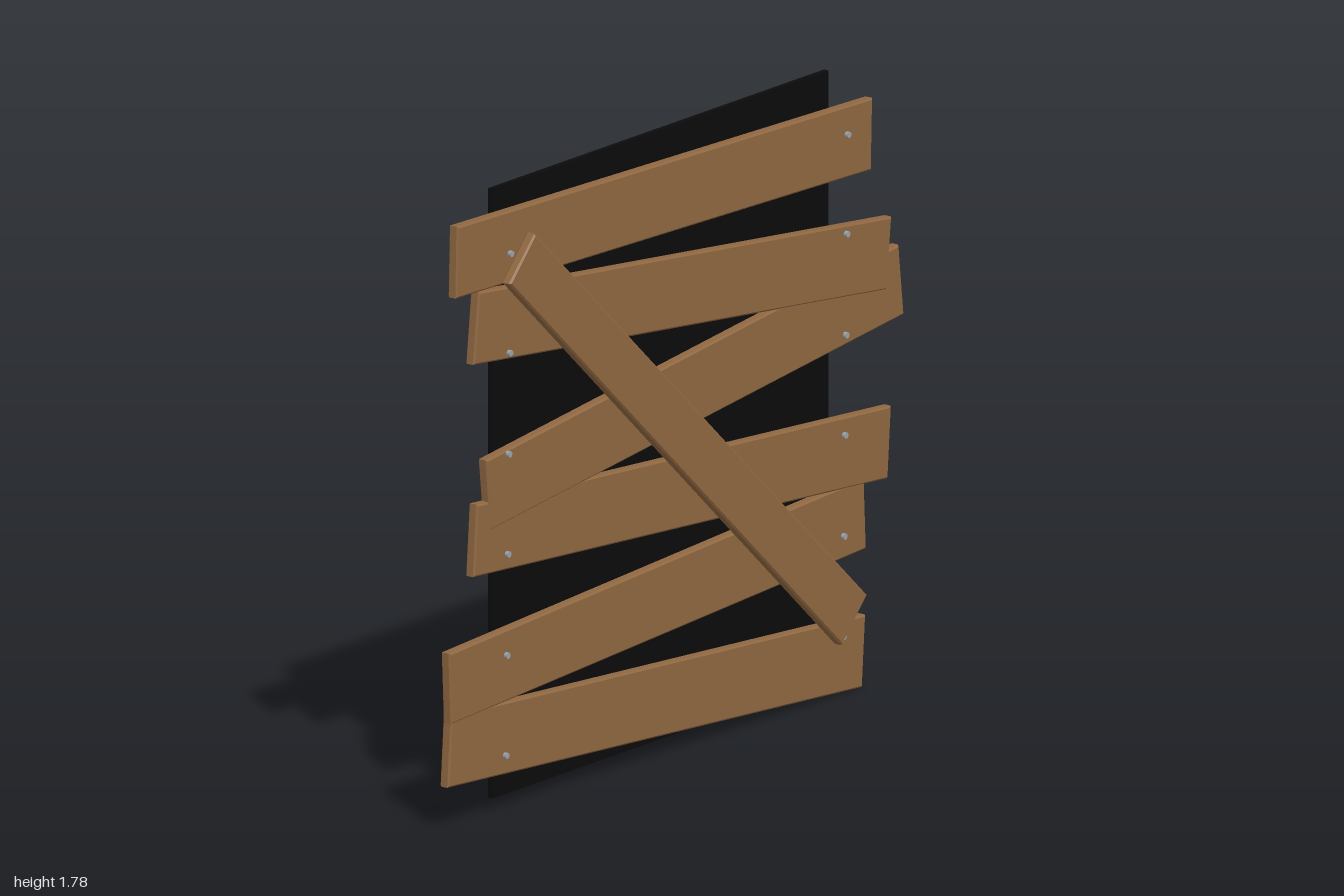
import * as THREE from 'three';

const wood = new THREE.MeshStandardMaterial({ color: 0x8f6741 });
wood.name = 'wood';
const black = new THREE.MeshStandardMaterial({ color: 0x0b0b0b });
black.name = 'black';
const steel = new THREE.MeshStandardMaterial({ color: 0x9aa3aa });
steel.name = 'steel';

const THICK = 0.032;
const BEVEL = 0.005;

// A plank with chamfered edges, centred on the origin
function plankGeometry(length, width) {
  const x = length / 2 - BEVEL, y = width / 2 - BEVEL;
  const shape = new THREE.Shape([
    new THREE.Vector2(-x, -y), new THREE.Vector2(x, -y),
    new THREE.Vector2(x, y), new THREE.Vector2(-x, y),
  ]);
  const geometry = new THREE.ExtrudeGeometry(shape, {
    depth: THICK - 2 * BEVEL, bevelEnabled: true,
    bevelSize: BEVEL, bevelThickness: BEVEL, bevelSegments: 1,
  });
  return geometry.translate(0, 0, -THICK / 2 + BEVEL);
}

function addMesh(group, name, geometry, material, x, y, z, degrees = 0) {
  const mesh = new THREE.Mesh(geometry, material);
  mesh.name = name;
  mesh.position.set(x, y, z);
  mesh.rotation.z = THREE.MathUtils.degToRad(degrees);
  group.add(mesh);
}

export function createModel() {
  const group = new THREE.Group();
  group.name = 'boardedWindow';

  // Dark panel behind the planks
  addMesh(group, 'backPanel', new THREE.BoxGeometry(1.48, 1.745, 0.015), black, -0.01, 0.9125, -0.0495);

  // Crooked planks from top to bottom: x, y, tilt in degrees
  const planks = [
    [-0.0675, 1.6125, -1.57],
    [0.0175, 1.3275, -6.3],
    [0.076, 1.0375, 6.3],
    [0.025, 0.75, -4.23],
    [-0.08, 0.46, 2.66],
    [-0.08, 0.1725, -4.07],
  ];
  const plank = plankGeometry(1.83, 0.205);
  const nail = new THREE.CylinderGeometry(0.009, 0.009, 0.02, 10).rotateX(Math.PI / 2);
  planks.forEach(([x, y, tilt], i) => {
    const z = 0.004 - i * 0.0033;
    addMesh(group, 'plank' + (i + 1), plank, wood, x, y, z, tilt);
    // One nail near each end
    addMesh(group, 'rightNail' + (i + 1), nail, steel, -0.752, y, z + THICK / 2);
    addMesh(group, 'leftNail' + (i + 1), nail, steel, 0.733, y, z + THICK / 2);
  });

  // Diagonal brace across the front
  addMesh(group, 'diagonalPlank', plankGeometry(2.005, 0.163), wood, -0.0075, 0.915, 0.041, -43.1);

  return group;
}
